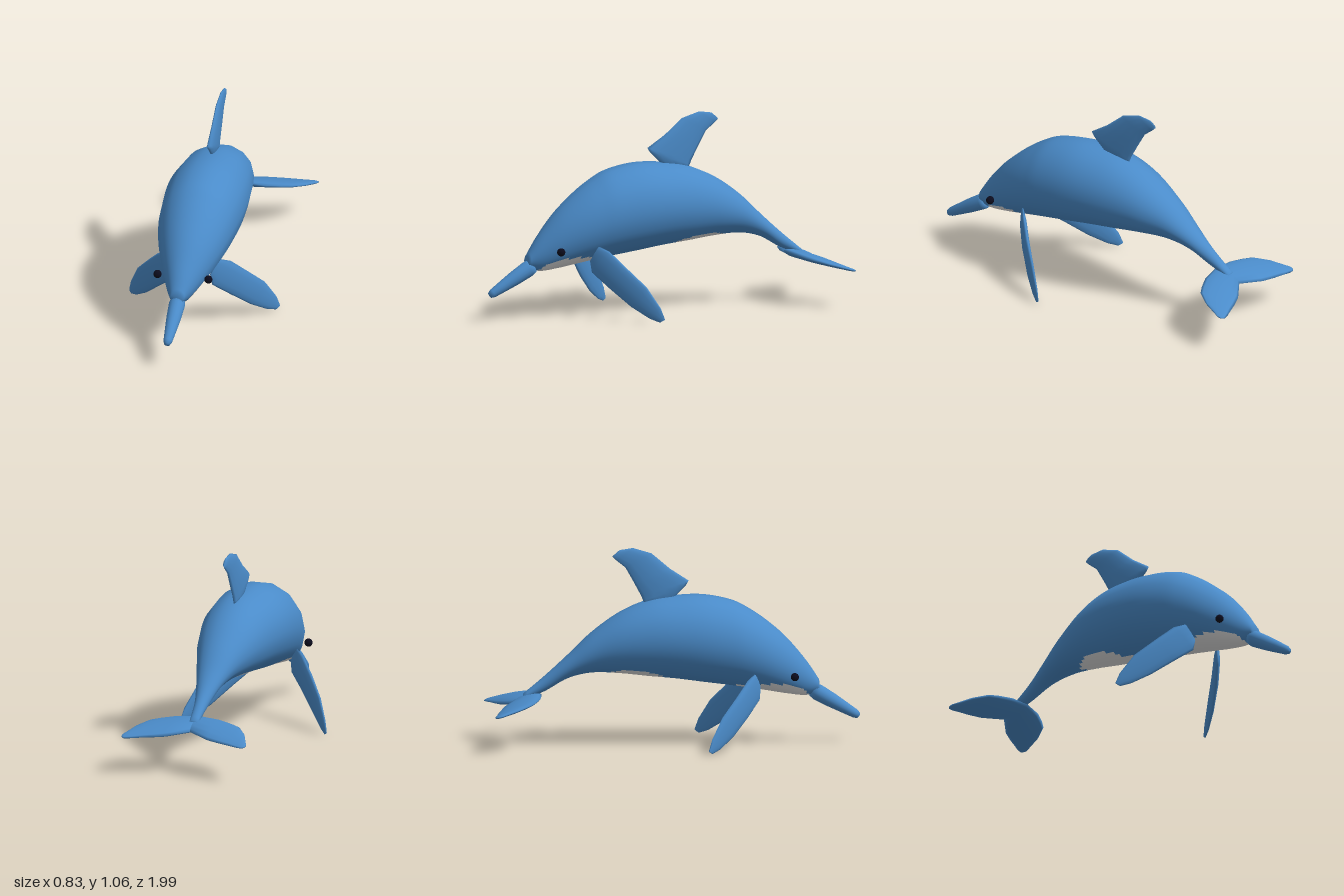
import * as THREE from 'three';

const V = (x, y, z) => new THREE.Vector3(x, y, z);

// Body stations, nose to tail: z, top y, bottom y, half width
const STATIONS = [
  [0.77, 0.345, 0.28, 0.035], [0.70, 0.45, 0.258, 0.075], [0.60, 0.57, 0.268, 0.125],
  [0.50, 0.66, 0.285, 0.165], [0.40, 0.73, 0.302, 0.193], [0.30, 0.78, 0.317, 0.211],
  [0.15, 0.81, 0.337, 0.221], [0, 0.807, 0.358, 0.215], [-0.15, 0.783, 0.373, 0.195],
  [-0.30, 0.72, 0.39, 0.162], [-0.45, 0.615, 0.396, 0.112], [-0.58, 0.493, 0.367, 0.068],
  [-0.70, 0.385, 0.30, 0.037], [-0.82, 0.285, 0.25, 0.025],
];

// Half angle of the pale belly at each z
const BELLY = [[0.72, 0], [0.69, 0.9], [0.62, 0.95], [0.5, 0.72], [0.4, 0.5], [0.3, 0.22],
  [0.0, 0.16], [-0.08, 0.3], [-0.16, 0.55], [-0.26, 0.6], [-0.33, 0.45], [-0.38, 0]];

function bellyAngle(z) {
  for (let i = 0; i < BELLY.length - 1; i++) {
    const [z0, a0] = BELLY[i], [z1, a1] = BELLY[i + 1];
    if (z <= z0 && z >= z1) return a0 + (a1 - a0) * (z0 - z) / (z0 - z1);
  }
  return 0;
}

// Fourteen-sided body, finely split so the belly can be a face group
function bodyGeometry() {
  const rings = 78, n = 56, side = Math.PI / 7;
  const heights = new THREE.CatmullRomCurve3(STATIONS.map(s => V(s[0], s[1], s[2])), false, 'catmullrom');
  const widths = new THREE.CatmullRomCurve3(STATIONS.map(s => V(s[0], s[3], 0)), false, 'catmullrom');
  const pos = [], centres = [], back = [], belly = [];
  for (let i = 0; i <= rings; i++) {
    const h = heights.getPoint(i / rings), w = widths.getPoint(i / rings).y;
    const cy = (h.y + h.z) / 2, ry = (h.y - h.z) / 2;
    centres.push([cy, h.x]);
    for (let j = 0; j < n; j++) {
      const a = j / n * Math.PI * 2;
      pos.push(w * Math.sin(a), cy - ry * Math.cos(a), h.x);
    }
  }
  for (let i = 0; i < rings; i++) {
    for (let j = 0; j < n; j++) {
      const a = i * n + j, b = i * n + (j + 1) % n;
      const angle = (j + 0.5) / n * Math.PI * 2;
      const z = (centres[i][1] + centres[i + 1][1]) / 2;
      const list = Math.min(angle, Math.PI * 2 - angle) < bellyAngle(z) ? belly : back;
      list.push(a, a + n, b, b, a + n, b + n);
    }
  }
  // end caps
  for (const end of [0, rings]) {
    const c = pos.length / 3;
    pos.push(0, ...centres[end]);
    for (let j = 0; j < n; j++) {
      const a = end * n + j, b = end * n + (j + 1) % n;
      back.push(c, ...(end ? [b, a] : [a, b]));
    }
  }
  const geo = new THREE.BufferGeometry();
  geo.setAttribute('position', new THREE.Float32BufferAttribute(pos, 3));
  geo.setIndex([...back, ...belly]);
  geo.addGroup(0, back.length, 0);
  geo.addGroup(back.length, belly.length, 1);
  geo.computeVertexNormals();
  // flatten the round rings to fourteen sides, keeping the smooth normals
  const p = geo.attributes.position;
  for (let i = 0; i <= rings; i++) {
    for (let j = 0; j < n; j++) {
      const k = i * n + j, a = j / n * Math.PI * 2;
      const off = ((a + side / 2) % side) - side / 2;
      const s = Math.cos(side / 2) / Math.cos(off);
      p.setXY(k, p.getX(k) * s, centres[i][0] + (p.getY(k) - centres[i][0]) * s);
    }
  }
  return geo;
}

// Fin lofted through elliptical sections: [lead point, trail point, half thickness]
function finGeometry(sections, normal) {
  const n = 12, pos = [], index = [];
  for (const [lead, trail, thick] of sections) {
    const c = lead.clone().add(trail).multiplyScalar(0.5), half = lead.clone().sub(c);
    for (let j = 0; j < n; j++) {
      const a = j / n * Math.PI * 2;
      const q = c.clone().addScaledVector(half, Math.cos(a)).addScaledVector(normal, thick * Math.sin(a));
      pos.push(q.x, q.y, q.z);
    }
  }
  const last = sections.length - 1;
  for (let i = 0; i < last; i++) {
    for (let j = 0; j < n; j++) {
      const a = i * n + j, b = i * n + (j + 1) % n;
      index.push(a, a + n, b, b, a + n, b + n);
    }
  }
  for (let j = 1; j < n - 1; j++) {
    index.push(0, j, j + 1, last * n, last * n + j + 1, last * n + j);
  }
  // turn the faces outward if the loft came out inverted
  let volume = 0;
  const at = k => V(pos[k * 3], pos[k * 3 + 1], pos[k * 3 + 2]);
  for (let t = 0; t < index.length; t += 3) {
    volume += at(index[t]).dot(at(index[t + 1]).cross(at(index[t + 2])));
  }
  if (volume < 0) index.reverse();
  const geo = new THREE.BufferGeometry();
  geo.setAttribute('position', new THREE.Float32BufferAttribute(pos, 3));
  geo.setIndex(index);
  geo.computeVertexNormals();
  return geo;
}

export function createModel() {
  const model = new THREE.Group();
  model.name = 'dolphin';
  const material = (name, color) => {
    const m = new THREE.MeshStandardMaterial({ color });
    m.name = name;
    return m;
  };
  const blue = material('blue skin', 0x4a8bc9);
  const pale = material('pale belly', 0xe4e4e4);
  const dark = material('dark eye', 0x0b0b1c);
  const add = (name, geo, mat) => {
    const mesh = new THREE.Mesh(geo, mat);
    mesh.name = name;
    model.add(mesh);
    return mesh;
  };

  add('body', bodyGeometry(), [blue, pale]);

  // beak
  const profile = [[0, 0], [0.038, 0], [0.044, 0.03], [0.039, 0.12], [0.031, 0.2],
    [0.024, 0.265], [0.016, 0.285], [0, 0.29]].map(p => new THREE.Vector2(...p));
  const beak = add('beak', new THREE.LatheGeometry(profile, 16), blue);
  beak.position.set(0, 0.287, 0.738);
  beak.rotation.x = Math.atan2(0.255, -0.15);

  // dorsal fin: lead z, y, trail z, y, half thickness
  const dorsal = [[0, 0.805, -0.165, 0.755, 0.012], [0.055, 0.86, -0.175, 0.78, 0.017],
    [0.07, 0.885, -0.185, 0.805, 0.018], [-0.03, 0.95, -0.225, 0.88, 0.018],
    [-0.13, 1.035, -0.27, 0.96, 0.015], [-0.23, 1.065, -0.32, 1.0, 0.011],
    [-0.30, 1.055, -0.34, 1.02, 0.006]];
  add('dorsalFin', finGeometry(
    dorsal.map(([lz, ly, tz, ty, h]) => [V(0, ly, lz), V(0, ty, tz), h]), V(1, 0, 0)), blue);

  // flippers: upper x, y, lower x, y, half thickness
  const flipper = [[0.15, 0.395, 0.105, 0.31, 0.008], [0.20, 0.37, 0.115, 0.25, 0.017],
    [0.27, 0.29, 0.20, 0.17, 0.018], [0.35, 0.19, 0.29, 0.08, 0.015],
    [0.40, 0.08, 0.36, 0.022, 0.01], [0.415, 0.02, 0.397, 0.003, 0.005]];
  const flipperZ = x => 0.45 - 0.7 * (x - 0.1) - 0.9 * (x - 0.1) ** 2;

  // flukes: x, lead z, trail z, half thickness
  const fluke = [[0, -0.72, -0.875, 0.024], [0.12, -0.735, -0.945, 0.022],
    [0.2, -0.765, -0.97, 0.018], [0.25, -0.79, -0.982, 0.015],
    [0.305, -0.86, -0.997, 0.011], [0.335, -0.93, -1.0, 0.008], [0.35, -0.96, -0.988, 0.004]];
  const flukeY = z => 0.28 + (z + 0.72) * 0.28;

  for (const s of [1, -1]) {
    const side = s > 0 ? 'left' : 'right';
    add(side + 'Flipper', finGeometry(flipper.map(([ux, uy, lx, ly, h]) =>
      [V(s * ux, uy, flipperZ(ux)), V(s * lx, ly, flipperZ(lx)), h]), V(s * 0.72, 0, 0.69)), blue);
    add(side + 'Fluke', finGeometry(fluke.map(([x, lz, tz, h]) =>
      [V(s * x, flukeY(lz), lz), V(s * x, flukeY(tz), tz), h]), V(0, 0.96, -0.27)), blue);
    add(side + 'Eye', new THREE.SphereGeometry(0.022, 16, 12), dark).position.set(s * 0.14, 0.375, 0.628);
  }
  return model;
}
